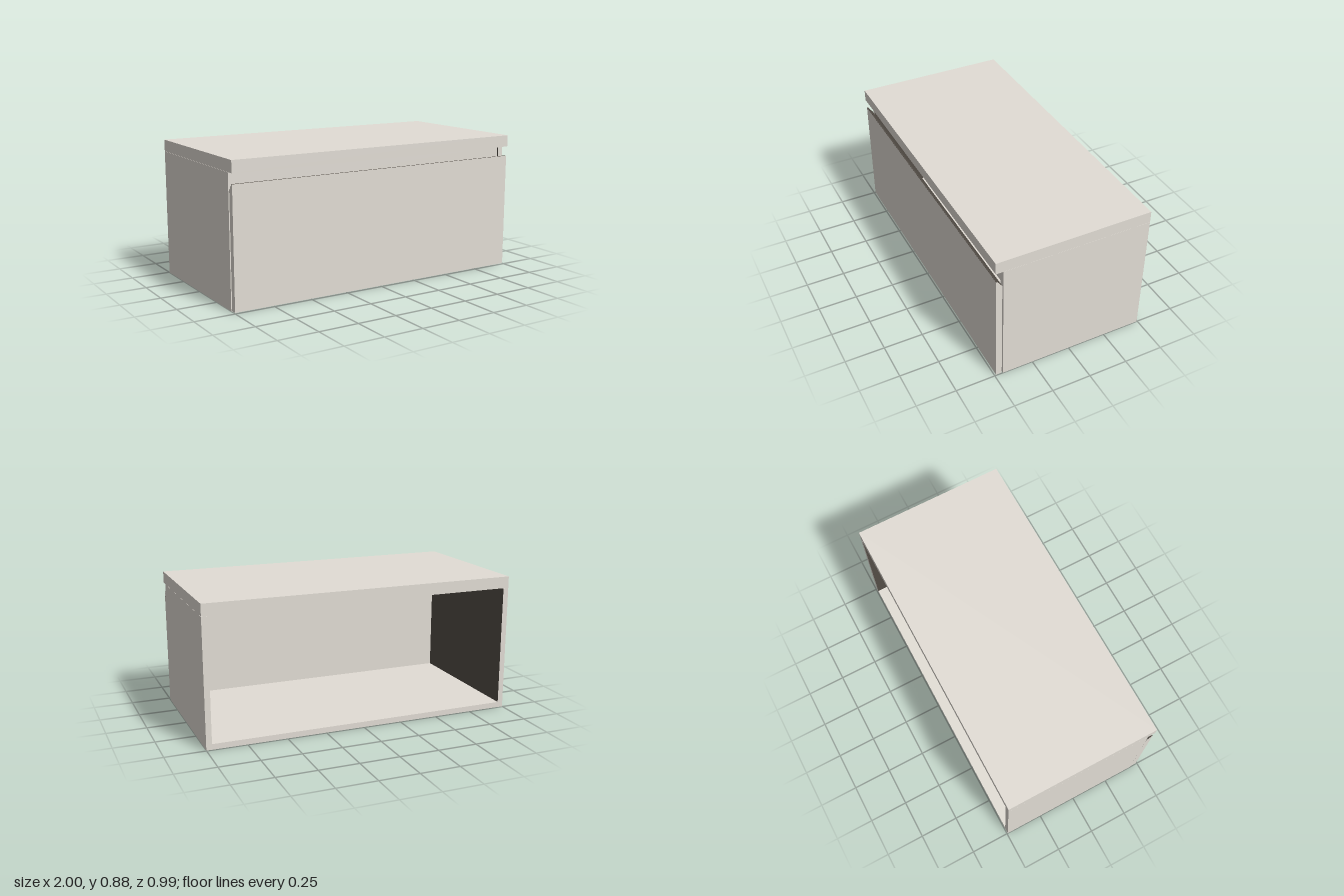
import * as THREE from 'three';

export function createModel() {
  const group = new THREE.Group();
  const paint = new THREE.MeshStandardMaterial({ color: 0xe2ddd5 });
  paint.name = 'warm white lacquer';
  const dark = new THREE.MeshStandardMaterial({ color: 0x544e47 });
  dark.name = 'dark brown lining';

  function add(name, geometry, material) {
    const mesh = new THREE.Mesh(geometry, material);
    mesh.name = name;
    group.add(mesh);
  }

  // Box panel given by its minimum and maximum corners
  function panel(name, [x0, y0, z0], [x1, y1, z1], material = paint) {
    const geometry = new THREE.BoxGeometry(x1 - x0, y1 - y0, z1 - z0);
    geometry.translate((x0 + x1) / 2, (y0 + y1) / 2, (z0 + z1) / 2);
    add(name, geometry, material);
  }

  // Profile of [z, y] points drawn out along x
  function extrusion(name, points, width, material) {
    const shape = new THREE.Shape(points.map(([z, y]) => new THREE.Vector2(-z, y)));
    const geometry = new THREE.ExtrudeGeometry(shape, { depth: width, bevelEnabled: false });
    geometry.translate(0, 0, -width / 2);
    geometry.rotateY(Math.PI / 2);
    add(name, geometry, material);
  }

  const back = -0.495, front = 0.447, t = 0.035, height = 0.8;
  const inner = 1 - t;

  // Open-backed carcass; the inner faces of the sides are dark
  panel('leftSide', [inner, 0, back], [1, height, front], [paint, dark, paint, paint, paint, paint]);
  panel('rightSide', [-1, 0, back], [-inner, height, front], [dark, paint, paint, paint, paint, paint]);
  panel('floor', [-inner, 0, back], [inner, t, front]);

  // Rail set slightly behind the front edges of the sides
  panel('frontRail', [-inner, 0.69, 0.422], [inner, height, 0.437]);

  // Worktop overhanging the front
  panel('worktop', [-1, 0.801, back], [1, 0.875, 0.495]);

  // Drawer front with a dark bevelled finger pull along its top rear edge
  const width = 1.994;
  extrusion('drawerFront', [
    [0.453, 0.003], [0.453, 0.697], [0.484, 0.739], [0.491, 0.739], [0.491, 0.003],
  ], width, paint);
  extrusion('fingerPull', [
    [0.453, 0.697], [0.453, 0.698], [0.484, 0.74], [0.491, 0.74], [0.491, 0.739], [0.484, 0.739],
  ], width, dark);

  return group;
}
